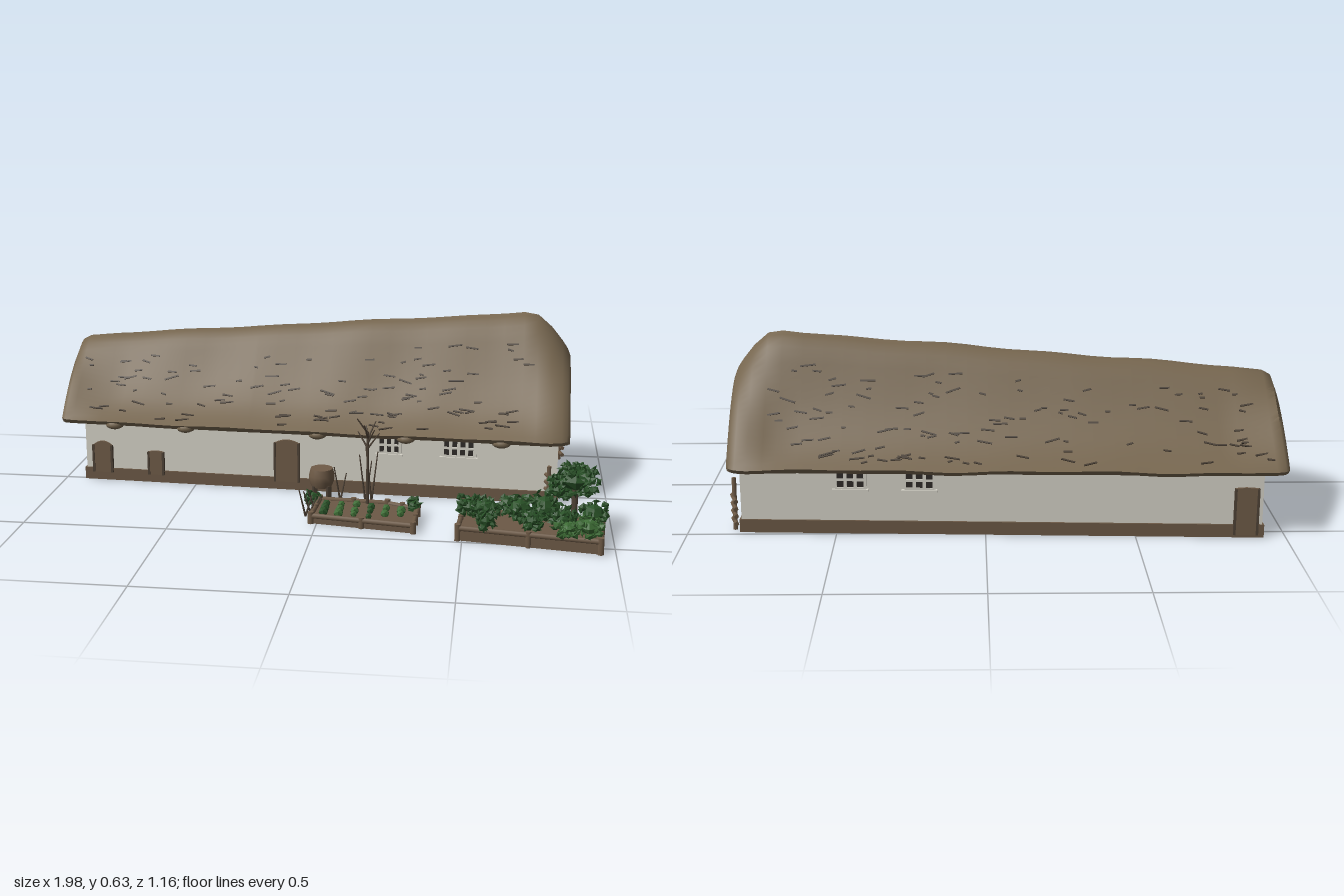
import * as THREE from 'three';
import { mergeGeometries, toCreasedNormals } from 'three/addons/utils/BufferGeometryUtils.js';

const material = (name, color, extra = {}) => {
  const m = new THREE.MeshStandardMaterial({ color, ...extra });
  m.name = name;
  return m;
};
const V = (x, y, z) => new THREE.Vector3(x, y, z);
const lerp = THREE.MathUtils.lerp;

export function createModel() {
  const model = new THREE.Group();
  const thatch = material('thatch brown', 0x76664f);
  const straw = material('dark straw', 0x453b30);
  const plaster = material('limewash', 0xd6d3c8);
  const stone = material('plinth brown', 0x6c5946);
  const wood = material('weathered wood', 0x6f5b47);
  const dark = material('dark glass', 0x2f2b28);
  const bark = material('bark', 0x4e4236);
  const leaf = material('leaf green', 0x285026, { flatShading: true });
  const leafLight = material('light leaf green', 0x3c6b34, { flatShading: true });

  let seed = 7;
  const rnd = (a = 0, b = 1) => {
    seed = (seed * 16807) % 2147483647;
    return a + (b - a) * (seed / 2147483647);
  };
  const add = (name, geo, mat, parent = model) => {
    const m = new THREE.Mesh(geo, mat);
    m.name = name;
    parent.add(m);
    return m;
  };
  const box = (w, h, d, x, y, z) => new THREE.BoxGeometry(w, h, d).translate(x, y, z);
  // Round stick between two points
  const stick = (a, b, r, r2 = r) => {
    const d = b.clone().sub(a);
    const q = new THREE.Quaternion().setFromUnitVectors(V(0, 1, 0), d.clone().normalize());
    const mid = a.clone().add(b).multiplyScalar(0.5);
    return new THREE.CylinderGeometry(r2, r, d.length(), 6).applyQuaternion(q).translate(mid.x, mid.y, mid.z);
  };

  // ---- Walls: a slightly skewed long house ----
  const X0 = -0.92, X1 = 0.82, DEPTH = 0.555;
  const wallF = (x) => lerp(0.005, 0.078, (x - X0) / (X1 - X0));
  const skewBox = (grow, y0, y1) => {
    const w = X1 - X0 + grow * 2, d = DEPTH + grow * 2;
    const g = box(w, y1 - y0, d, (X0 + X1) / 2, (y0 + y1) / 2, 0), p = g.attributes.position;
    for (let i = 0; i < p.count; i++) p.setZ(i, p.getZ(i) + wallF(p.getX(i)) - DEPTH / 2);
    g.computeVertexNormals();
    return g;
  };
  add('walls', skewBox(0, 0.01, 0.235), plaster);
  add('plinth', skewBox(0.006, 0, 0.045), stone);

  // Arched gable walls
  const arch = (t) => 1 - Math.pow(Math.abs(t), 1.6);
  const gable = (name, x, apex) => {
    const s = new THREE.Shape(), c = wallF(x) - DEPTH / 2;
    s.moveTo(c - DEPTH / 2, 0.2);
    s.lineTo(c + DEPTH / 2, 0.2);
    for (let i = 0; i <= 20; i++) {
      const t = 1 - i / 10;
      s.lineTo(c + t * DEPTH / 2, 0.225 + (apex - 0.225) * arch(t));
    }
    const g = new THREE.ExtrudeGeometry(s, { depth: 0.02, bevelEnabled: false });
    add(name, g.rotateY(-Math.PI / 2).translate(x, 0, 0), plaster);
  };
  gable('rightEndGable', X1, 0.455);
  gable('leftEndGable', X0 + 0.02, 0.375);
  for (const [y, z] of [[0.45, -0.205], [0.348, -0.355], [0.35, -0.045], [0.235, -0.46], [0.24, 0.05]])
    add('purlinEnd', box(0.035, 0.022, 0.02, X1 + 0.017, y, z), plaster);

  // ---- Thatched roof: x, ridge, inner apex, front eave z, back eave z, blend to arch ----
  const keys = [
    [-1.0, 0.44, 0.38, 0.03, -0.56, 0.9], [-0.985, 0.48, 0.38, 0.045, -0.58, 0.7],
    [-0.955, 0.495, 0.38, 0.05, -0.585, 0.5], [-0.85, 0.506, 0.385, 0.055, -0.588, 0],
    [-0.3, 0.553, 0.4, 0.085, -0.572, 0], [0.4, 0.608, 0.43, 0.108, -0.548, 0],
    [0.69, 0.635, 0.45, 0.122, -0.54, 0], [0.74, 0.625, 0.455, 0.125, -0.538, 0.15],
    [0.79, 0.58, 0.46, 0.123, -0.535, 0.5], [0.83, 0.53, 0.462, 0.11, -0.525, 0.75],
    [0.85, 0.5, 0.462, 0.095, -0.51, 0.95], [0.86, 0.475, 0.46, 0.08, -0.495, 1]];
  const bellPts = [1, 0.955, 0.845, 0.695, 0.55, 0.415, 0.3, 0.2, 0.12, 0.055, 0];
  const bell = (t) => {
    const f = Math.min(Math.abs(t) * 10, 9.9999), i = Math.floor(f);
    return lerp(bellPts[i], bellPts[i + 1], f - i);
  };
  const roofPoint = (x, s, inner = false) => {
    let i = 0;
    while (i < keys.length - 2 && x > keys[i + 1][0]) i++;
    const f = (x - keys[i][0]) / (keys[i + 1][0] - keys[i][0]);
    const [, ridge, apexIn, zf, zb, blend] = keys[i].map((k, j) => lerp(k, keys[i + 1][j], f));
    const zr = lerp(-0.24, -0.21, (x + 1) / 1.86), k = inner ? 0.95 : 1;
    const z = zr + k * (s > 0 ? (zf - zr) * s : (zr - zb) * s);
    const wave = 0.004 * Math.sin(x * 13 + s * 3) * Math.sin(x * 5 + 1);
    const outer = 0.238 + (ridge - 0.238) * lerp(bell(s), arch(s), blend) + wave;
    const under = Math.min(0.222 + (apexIn - 0.222) * arch(s), outer - 0.016);
    return V(x, inner ? under : outer, z + wave);
  };
  const xs = keys.map((k) => k[0]);
  for (let x = -0.78; x < 0.66; x += 0.07) xs.push(x);
  xs.sort((a, b) => a - b);
  const N = 41, ring = N * 2, pos = [], idx = [];
  for (const x of xs) {
    for (let j = 0; j < N; j++) pos.push(...roofPoint(x, j / 20 - 1));
    for (let j = N - 1; j >= 0; j--) pos.push(...roofPoint(x, j / 20 - 1, true));
  }
  for (let i = 0; i < xs.length - 1; i++)
    for (let j = 0; j < ring; j++) {
      const a = i * ring + j, b = i * ring + (j + 1) % ring;
      idx.push(a, b, a + ring, b, b + ring, a + ring);
    }
  const last = (xs.length - 1) * ring;
  for (let j = 0; j < N - 1; j++) { // end caps
    const o = j, p = j + 1, u = ring - 1 - j, v = ring - 2 - j;
    idx.push(o, u, p, p, u, v, last + o, last + p, last + u, last + p, last + v, last + u);
  }
  const roofGeo = new THREE.BufferGeometry();
  roofGeo.setAttribute('position', new THREE.Float32BufferAttribute(pos, 3));
  roofGeo.setIndex(idx);
  add('thatchedRoof', toCreasedNormals(roofGeo, 0.9), thatch);

  // Loose straws lying on both slopes
  const straws = [];
  for (let i = 0; i < 230; i++) {
    const x = rnd(-0.94, 0.72), s = rnd(0.25, 0.93) * (i % 2 ? 1 : -1);
    const a = roofPoint(x, s), b = roofPoint(x, s + 0.03);
    straws.push(new THREE.BoxGeometry(rnd(0.015, 0.055), 0.004, 0.006).rotateY(rnd(-0.35, 0.35))
      .rotateX(Math.atan2(a.y - b.y, b.z - a.z)).translate(a.x, a.y + 0.001, a.z));
  }
  add('looseStraw', mergeGeometries(straws), straw);
  for (const x of [-0.8, -0.53, -0.04, 0.28, 0.62])
    add('eaveTuft', new THREE.SphereGeometry(1, 10, 6).scale(0.035, 0.018, 0.03).translate(x, 0.222, wallF(x) + 0.02), thatch);

  // ---- Doors and windows; side 1 is the front wall, -1 the back wall ----
  const onWall = (name, x, side) => {
    const g = new THREE.Group();
    g.name = name;
    g.position.set(x, 0, side > 0 ? wallF(x) : wallF(x) - DEPTH);
    g.rotation.y = -0.042 + (side > 0 ? 0 : Math.PI);
    model.add(g);
    return g;
  };
  const door = (g, w, y0, y1, rise) => {
    const s = new THREE.Shape();
    s.moveTo(-w / 2, y0);
    s.lineTo(w / 2, y0);
    s.lineTo(w / 2, y1 - rise);
    s.quadraticCurveTo(0, y1 + rise, -w / 2, y1 - rise);
    const leafGeo = new THREE.ExtrudeGeometry(s, { depth: 0.009, bevelEnabled: false });
    add('doorLeaf', leafGeo, wood, g);
    for (const k of [-0.5, 0.5])
      add('doorPost', box(0.008, y1 - rise - y0, 0.014, k * w, (y0 + y1 - rise) / 2, 0.006), bark, g);
  };
  door(onWall('archedDoor', -0.855, 1), 0.07, 0.03, 0.15, 0.015);
  door(onWall('lowHatch', -0.65, 1), 0.055, 0.03, 0.122, 0.004);
  door(onWall('mainDoor', -0.155, 1), 0.088, 0.03, 0.19, 0.012);
  door(onWall('backDoor', -0.865, -1), 0.075, 0.01, 0.175, 0.003);
  const endDoor = onWall('endDoor', X0, 1);
  endDoor.position.z = -0.19;
  endDoor.rotation.y = -Math.PI / 2;
  door(endDoor, 0.07, 0.02, 0.18, 0.003);

  const windowAt = (x, side, w, h, cols) => {
    const g = onWall('window', x, side), y = 0.19;
    add('panes', box(w, h, 0.006, 0, y, 0.002), dark, g);
    for (let i = 0; i <= cols; i++)
      add('mullion', box(0.011, h, 0.012, -w / 2 + (i * w) / cols, y, 0.003), plaster, g);
    for (let i = -1; i <= 1; i++)
      add('glazingBar', box(w, 0.008, 0.012, 0, y + (i * h) / 2, 0.003), plaster, g);
    add('sill', box(w + 0.02, 0.007, 0.016, 0, y - h / 2 - 0.006, 0.006), plaster, g);
  };
  windowAt(0.22, 1, 0.08, 0.06, 3);
  windowAt(0.47, 1, 0.115, 0.06, 4);
  windowAt(0.45, -1, 0.1, 0.06, 3);
  windowAt(0.22, -1, 0.1, 0.06, 3);

  // ---- Short rail fences at the right-hand corners ----
  const fence = (x, z, h) => {
    const parts = [stick(V(x, 0, z), V(x, h, z + 0.012), 0.008)];
    for (let i = 0; i < 4; i++)
      parts.push(stick(V(x - 0.01, 0.03 + i * 0.026, z - 0.03), V(x + 0.012, 0.027 + i * 0.028, z + 0.035), 0.008));
    add('cornerFence', mergeGeometries(parts), wood);
  };
  fence(0.845, -0.455, 0.18);
  fence(0.79, 0.1, 0.15);

  // ---- Water barrel on a stand ----
  const barrel = new THREE.LatheGeometry([[0, 0.058], [0.036, 0.058], [0.045, 0.08], [0.046, 0.1], [0.04, 0.125], [0, 0.125]]
    .map(([r, y]) => new THREE.Vector2(r, y)), 14);
  add('barrel', toCreasedNormals(barrel, 0.7).translate(-0.012, 0, 0.155), wood);
  for (const [dx, dz] of [[-1, -1], [1, -1], [-1, 1], [1, 1]])
    add('barrelLeg', stick(V(-0.012 + dx * 0.025, 0, 0.155 + dz * 0.025), V(-0.012 + dx * 0.025, 0.065, 0.155 + dz * 0.025), 0.007), bark);

  // ---- Garden beds ----
  const bed = (name, corners, h) => {
    const s = new THREE.Shape(corners.map(([x, z]) => new THREE.Vector2(x, -z)));
    const soil = new THREE.ExtrudeGeometry(s, { depth: h - 0.01, bevelEnabled: false }).rotateX(-Math.PI / 2);
    add(name + 'Soil', soil, stone);
    const rails = corners.flatMap(([x, z], i) => {
      const [x2, z2] = corners[(i + 1) % corners.length];
      return [stick(V(x, h - 0.008, z), V(x2, h - 0.008, z2), 0.009),
        stick(V(x, 0, z), V(x, h + 0.006, z), 0.011),
        stick(V((x + x2) / 2, 0, (z + z2) / 2), V((x + x2) / 2, h + 0.004, (z + z2) / 2), 0.01)];
    });
    add(name + 'Edging', mergeGeometries(rails), wood);
  };
  bed('smallBed', [[-0.01, 0.21], [-0.02, 0.385], [0.335, 0.44], [0.34, 0.27], [0.23, 0.225]], 0.036);
  bed('shrubBed', [[0.5, 0.295], [0.485, 0.485], [0.95, 0.555], [0.965, 0.365]], 0.052);

  // Leafy clump: solid heart with pointed leaves around it
  const clump = (name, x, y, z, rx, ry, rz, n, mat = leaf) => {
    const parts = [new THREE.OctahedronGeometry(1, 1).scale(rx * 0.65, ry * 0.65, rz * 0.65)];
    for (let i = 0; i < n; i++) {
      const d = V(rnd(-1, 1), rnd(-1, 1), rnd(-1, 1)).normalize().multiplyScalar(rnd(0.65, 0.95));
      parts.push(new THREE.OctahedronGeometry(rnd(0.011, 0.019)).scale(1, 0.4, 0.75)
        .rotateX(rnd(0, 3)).rotateZ(rnd(0, 3)).translate(d.x * rx, d.y * ry, d.z * rz));
    }
    add(name, mergeGeometries(parts).translate(x, y, z), mat);
  };
  clump('tallShrubCrown', 0.87, 0.185, 0.35, 0.09, 0.06, 0.07, 130);
  clump('tallShrubSide', 0.82, 0.14, 0.32, 0.055, 0.045, 0.05, 45);
  add('tallShrubTrunk', stick(V(0.87, 0.03, 0.36), V(0.87, 0.19, 0.35), 0.012), bark);
  for (const [x, z, r, h] of [[0.52, 0.36, 0.05, 0.04], [0.57, 0.42, 0.055, 0.05], [0.58, 0.5, 0.035, 0.04],
    [0.65, 0.34, 0.045, 0.04], [0.69, 0.4, 0.055, 0.05], [0.73, 0.48, 0.04, 0.04], [0.77, 0.38, 0.06, 0.055],
    [0.83, 0.47, 0.055, 0.045], [0.84, 0.535, 0.04, 0.035], [0.93, 0.42, 0.055, 0.05], [0.91, 0.52, 0.05, 0.04]])
    clump('lowShrub', x, 0.042 + h, z, r, h, r, 40, rnd() < 0.3 ? leafLight : leaf);
  for (let i = 0; i < 16; i++)
    add('cabbage', new THREE.IcosahedronGeometry(rnd(0.01, 0.019), 0)
      .translate(0.02 + (i % 6) * 0.053, 0.034, 0.26 + Math.floor(i / 6) * 0.05 + (i % 6) * 0.008 + rnd(-0.012, 0.012)), i % 3 ? leafLight : leaf);
  clump('bedTuft', -0.035, 0.035, 0.215, 0.03, 0.03, 0.025, 18);
  clump('bedTuft', 0.325, 0.045, 0.275, 0.025, 0.02, 0.025, 16);

  // Bare sapling and twigs
  const twigs = [stick(V(0.16, 0, 0.23), V(0.16, 0.29, 0.235), 0.007, 0.004)];
  for (let i = 0; i < 7; i++) {
    const a = i * 0.9, y = 0.23 + (i % 4) * 0.018;
    twigs.push(stick(V(0.16, y, 0.234), V(0.16 + Math.cos(a) * 0.04, y + 0.055, 0.234 + Math.sin(a) * 0.032), 0.004, 0.002));
  }
  for (const [x, z, h] of [[0.06, 0.2, 0.15], [0.17, 0.19, 0.23], [0.15, 0.205, 0.2], [-0.03, 0.33, 0.1], [-0.04, 0.37, 0.12], [-0.02, 0.29, 0.09]])
    for (const k of [-1, 1])
      twigs.push(stick(V(x, 0.02, z), V(x + k * 0.02, h - (k > 0 ? 0.03 : 0), z - k * 0.015), 0.004, 0.002));
  add('saplingAndTwigs', mergeGeometries(twigs), bark);

  return model;
}
